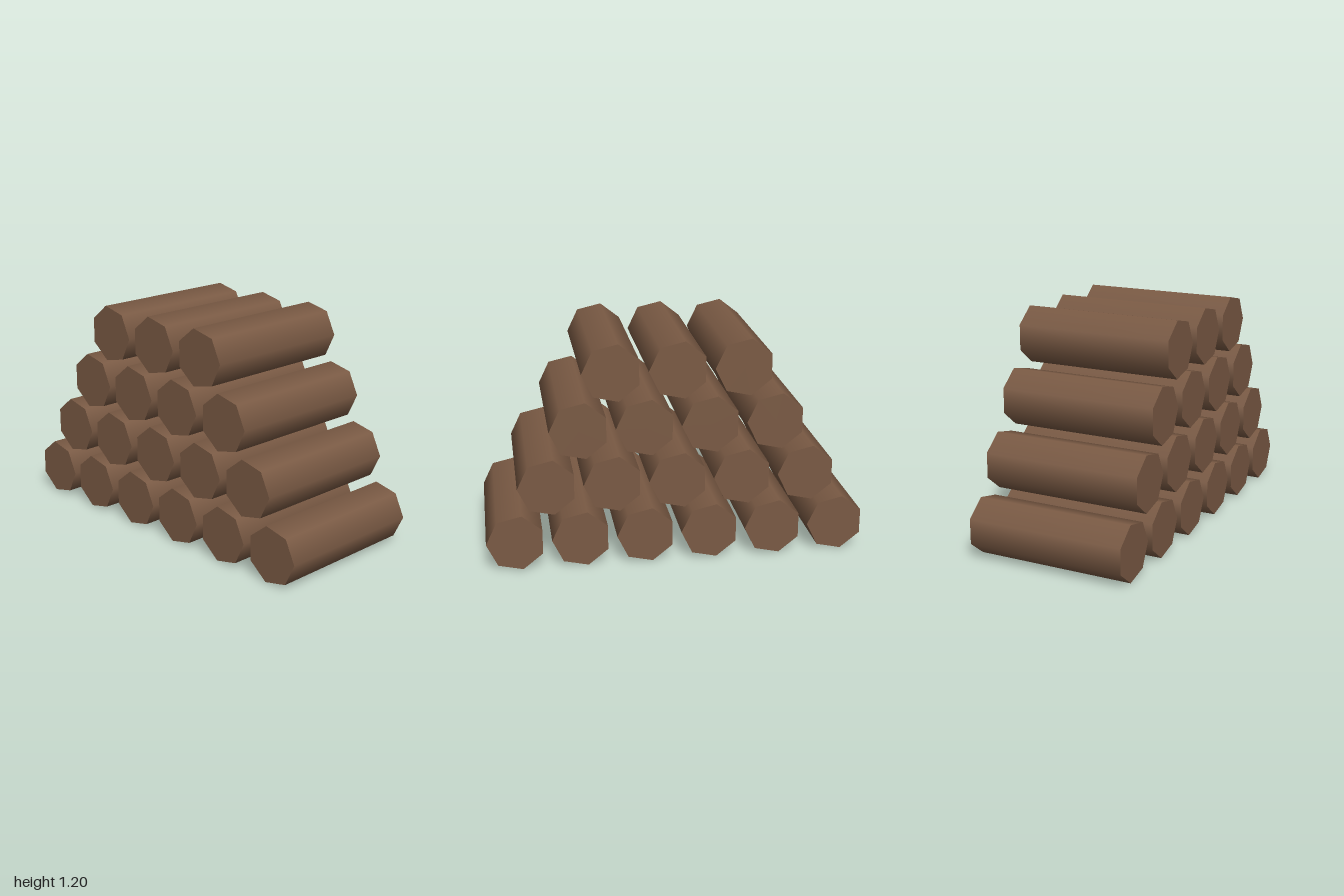
import * as THREE from 'three';

export function createModel() {
  const group = new THREE.Group();
  group.name = 'logPile';

  const wood = new THREE.MeshStandardMaterial({ color: 0x7a5a44 });
  wood.name = 'brown wood';

  // Seven-sided log lying along z, with one corner pointing to +x
  const radius = 0.154, length = 0.85;
  const logGeometry = new THREE.CylinderGeometry(radius, radius, length, 7, 1, false, Math.PI / 2);
  logGeometry.rotateX(Math.PI / 2);

  // Stacked rows, each shifted half a step over the one below
  const rows = [6, 5, 4, 3];
  const stepX = 0.3414, stepY = 0.2985, firstX = -0.861, firstY = 0.153;
  rows.forEach((count, row) => {
    for (let i = 0; i < count; i++) {
      const log = new THREE.Mesh(logGeometry, wood);
      log.name = `logRow${row + 1}Number${i + 1}`;
      log.position.set(firstX + (i + row / 2) * stepX, firstY + row * stepY, 0);
      group.add(log);
    }
  });

  return group;
}
